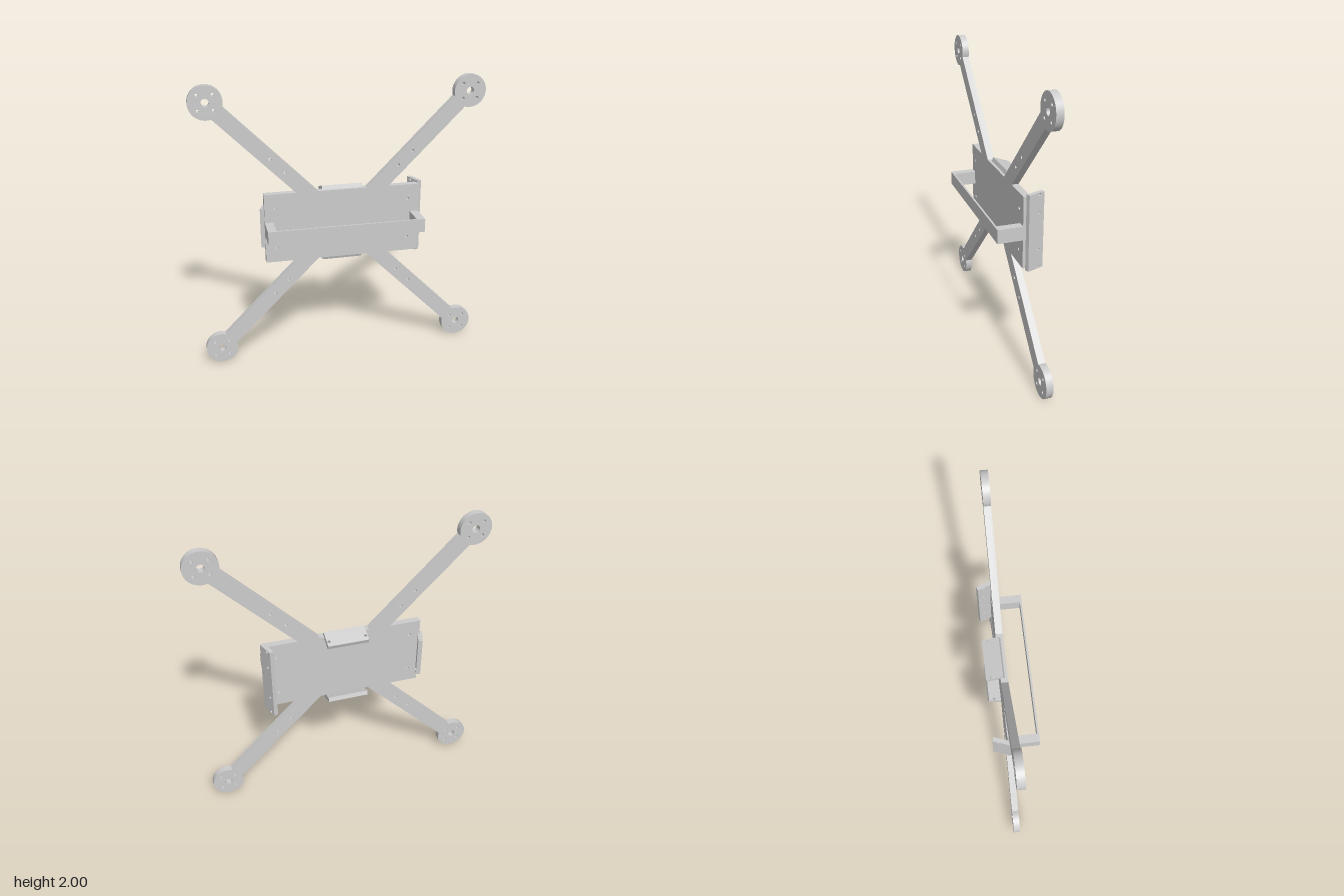
import * as THREE from 'three';
import { toCreasedNormals } from 'three/addons/utils/BufferGeometryUtils.js';

const HALF_W = 0.545, HALF_H = 0.249;    // centre plate
const MOTOR = 0.888, MOTOR_R = 0.112;    // motor mounts on the diagonals
const ARM_HALF = 0.053;                  // half width of an arm
const BACK = -0.061, FRONT = -0.013;     // plate faces
const TILT = THREE.MathUtils.degToRad(20);

const material = new THREE.MeshStandardMaterial({ color: 0xcccccc });

function addHole(shape, x, y, r) {
  const hole = new THREE.Path();
  hole.absarc(x, y, r, 0, Math.PI * 2, true);
  shape.holes.push(hole);
}

function extrude(shape, depth, curveSegments) {
  const geo = new THREE.ExtrudeGeometry(shape, { depth, bevelEnabled: false, curveSegments });
  return toCreasedNormals(geo, 0.5);
}

function named(name, geometry) {
  const mesh = new THREE.Mesh(geometry, material);
  mesh.name = name;
  return mesh;
}

// Plate, four diagonal arms and round motor mounts as one outline
function frameShape() {
  const shape = new THREE.Shape();
  const near = HALF_H - ARM_HALF * Math.SQRT2, far = HALF_H + ARM_HALF * Math.SQRT2;
  const alpha = Math.asin(ARM_HALF / MOTOR_R);
  shape.moveTo(HALF_W, -HALF_H);
  [[1, 1], [-1, 1], [-1, -1], [1, -1]].forEach(([sx, sy], i) => {
    const theta = Math.PI / 4 + i * Math.PI / 2;
    const cornerFirst = sx * sy > 0;
    if (cornerFirst) shape.lineTo(sx * HALF_W, sy * HALF_H);
    shape.lineTo(sx * (cornerFirst ? far : near), sy * HALF_H);
    shape.absarc(sx * MOTOR, sy * MOTOR, MOTOR_R, theta - Math.PI + alpha, theta + Math.PI - alpha, false);
    shape.lineTo(sx * (cornerFirst ? near : far), sy * HALF_H);
    if (!cornerFirst && i < 3) shape.lineTo(sx * HALF_W, sy * HALF_H);

    // motor shaft and screw holes, arm holes, plate corner hole
    addHole(shape, sx * MOTOR, sy * MOTOR, 0.026);
    for (const dx of [-0.05, 0.05])
      for (const dy of [-0.05, 0.05]) addHole(shape, sx * MOTOR + dx, sy * MOTOR + dy, 0.011);
    for (const d of [0.395, 0.493]) addHole(shape, sx * d, sy * d, 0.011);
    addHole(shape, sx * 0.47, sy * 0.145, 0.011);
  });
  shape.closePath();
  return shape;
}

// Drilled mounting tab on a plate edge, leaning inward toward the back
function tab(name, halfLength, holes, edge, turn) {
  const h = 0.122;
  const shape = new THREE.Shape([
    new THREE.Vector2(-halfLength, 0), new THREE.Vector2(halfLength, 0),
    new THREE.Vector2(halfLength, h), new THREE.Vector2(-halfLength, h),
  ]);
  for (const x of holes) {
    addHole(shape, x, 0.084, 0.01);
    addHole(shape, -x, 0.084, 0.01);
  }
  const geo = extrude(shape, 0.03, 12);
  geo.rotateX(-Math.PI / 2 - TILT);
  geo.translate(0, edge, -0.032);
  geo.rotateZ(turn);
  return named(name, geo);
}

// Flat strap standing off the front on two legs
function handleGeometry() {
  const outer = HALF_W, inner = 0.487, top = 0.158, under = 0.145;
  const shape = new THREE.Shape([
    [-outer, FRONT], [-inner, FRONT], [-inner, under], [inner, under],
    [inner, FRONT], [outer, FRONT], [outer, top], [-outer, top],
  ].map(([x, z]) => new THREE.Vector2(x, z)));
  const geo = extrude(shape, 0.096, 1);
  geo.rotateX(Math.PI / 2);
  geo.translate(0, 0.048, 0);
  return geo;
}

export function createModel() {
  const model = new THREE.Group();
  model.name = 'quadcopterFrame';

  const frame = named('plateAndArms', extrude(frameShape(), FRONT - BACK, 24));
  frame.position.z = BACK;

  model.add(
    frame,
    named('strapHandle', handleGeometry()),
    tab('topTab', 0.142, [0.126], HALF_H, 0),
    tab('bottomTab', 0.142, [0.126], HALF_H, Math.PI),
    tab('leftLongTab', 0.265, [0.128, 0.252], HALF_W, -Math.PI / 2),
    tab('rightTab', 0.142, [0.126], HALF_W, Math.PI / 2),
  );
  for (const part of model.children) part.position.y = 1;
  return model;
}
